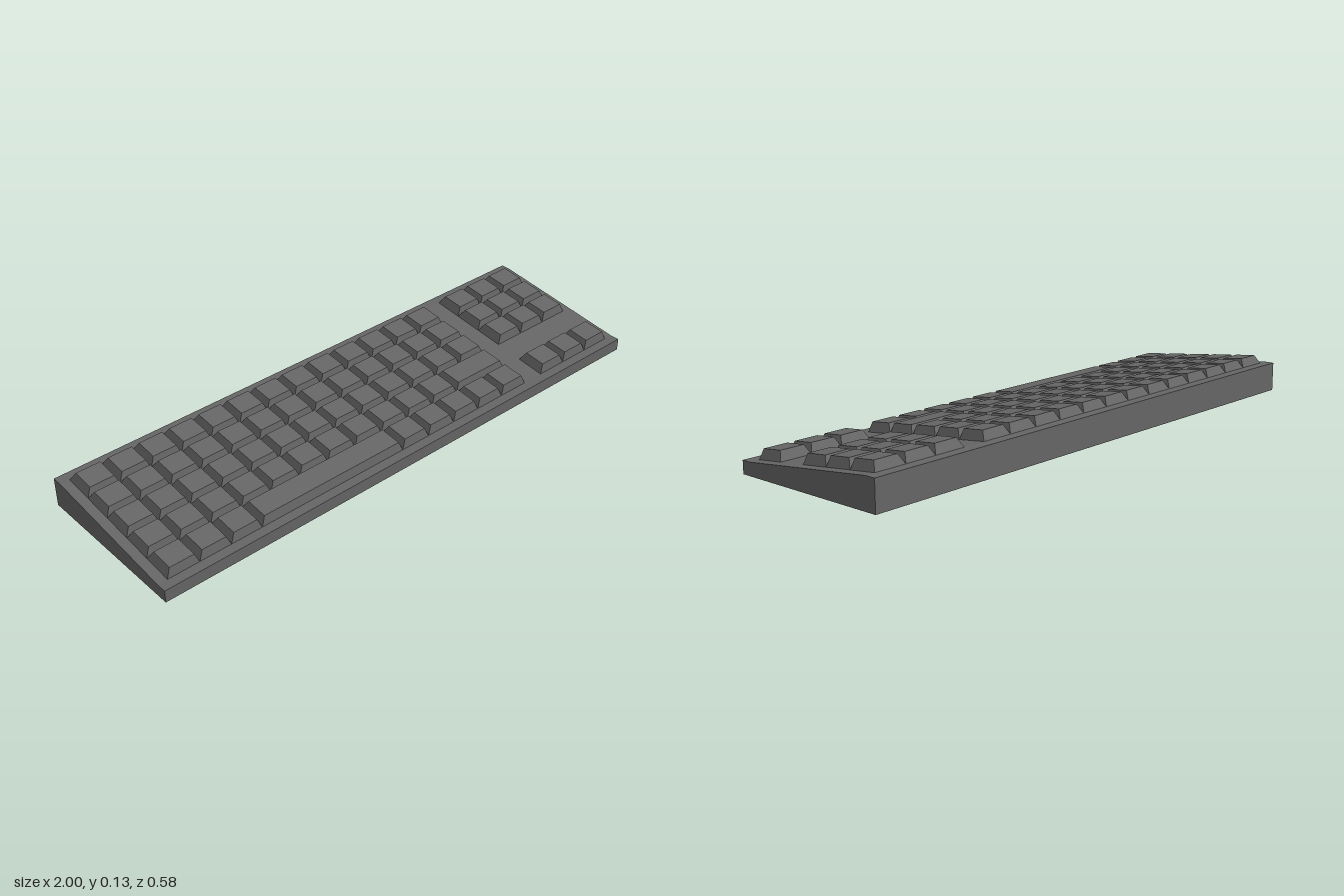
import * as THREE from 'three';

const UNIT = 0.1156;          // width of a single key
const ROW = 0.1024;           // depth of a key row
const FRONT = 0.257, BACK = -0.255; // ends of the sloping deck
const LOW = 0.044, HIGH = 0.104;    // deck height at those ends

const deckY = z => LOW + (HIGH - LOW) * (FRONT - z) / (FRONT - BACK);

// Tapered keycap whose base follows the sloping deck
function keycapGeometry(x0, units, zFront) {
  const zBack = zFront - ROW, x1 = x0 + units * UNIT;
  const g = new THREE.BoxGeometry(1, 1, 1);
  const p = g.attributes.position;
  for (let i = 0; i < p.count; i++) {
    const right = p.getX(i) > 0, top = p.getY(i) > 0, front = p.getZ(i) > 0;
    const z = front ? zFront : zBack;
    const inset = top ? 0.014 : 0;
    p.setXYZ(i,
      right ? x1 - inset : x0 + inset,
      deckY(z) + (top ? (front ? 0.033 : 0.0295) : 0),
      z + (top ? (front ? -0.006 : 0.0185) : 0));
  }
  g.computeVertexNormals();
  return g;
}

export function createModel() {
  const model = new THREE.Group();
  model.name = 'keyboard';
  const grey = new THREE.MeshStandardMaterial({ color: 0x666666 });
  grey.name = 'darkGrey';

  // Wedge-shaped case, side profile drawn in z and y
  const profile = new THREE.Shape([
    [-0.292, 0], [0.292, 0], [0.292, LOW], [FRONT, LOW], [BACK, HIGH], [-0.292, HIGH],
  ].map(([z, y]) => new THREE.Vector2(z, y)));
  const caseGeometry = new THREE.ExtrudeGeometry(profile, { depth: 2, bevelEnabled: false });
  caseGeometry.rotateY(-Math.PI / 2).translate(1, 0, 0);
  const body = new THREE.Mesh(caseGeometry, grey);
  body.name = 'case';
  model.add(body);

  // Key widths per row, from front to back
  const singles = n => Array(n).fill(1);
  const mainRows = [
    [...singles(3), 5, ...singles(5)],
    [...singles(11), 2],
    singles(13), singles(13), singles(13),
  ];
  const sideRows = [singles(3), [], singles(3), singles(3), singles(3)];

  function addBlock(name, rows, left) {
    const block = new THREE.Group();
    block.name = name;
    rows.forEach((row, r) => {
      let x = left;
      for (const units of row) {
        const key = new THREE.Mesh(keycapGeometry(x, units, FRONT - r * ROW), grey);
        key.name = units === 5 ? 'spaceBar' : units === 2 ? 'wideKey' : 'key';
        block.add(key);
        x += units * UNIT;
      }
    });
    model.add(block);
  }
  addBlock('mainKeys', mainRows, -0.966);
  addBlock('sideKeys', sideRows, 0.966 - 3 * UNIT);

  return model;
}
